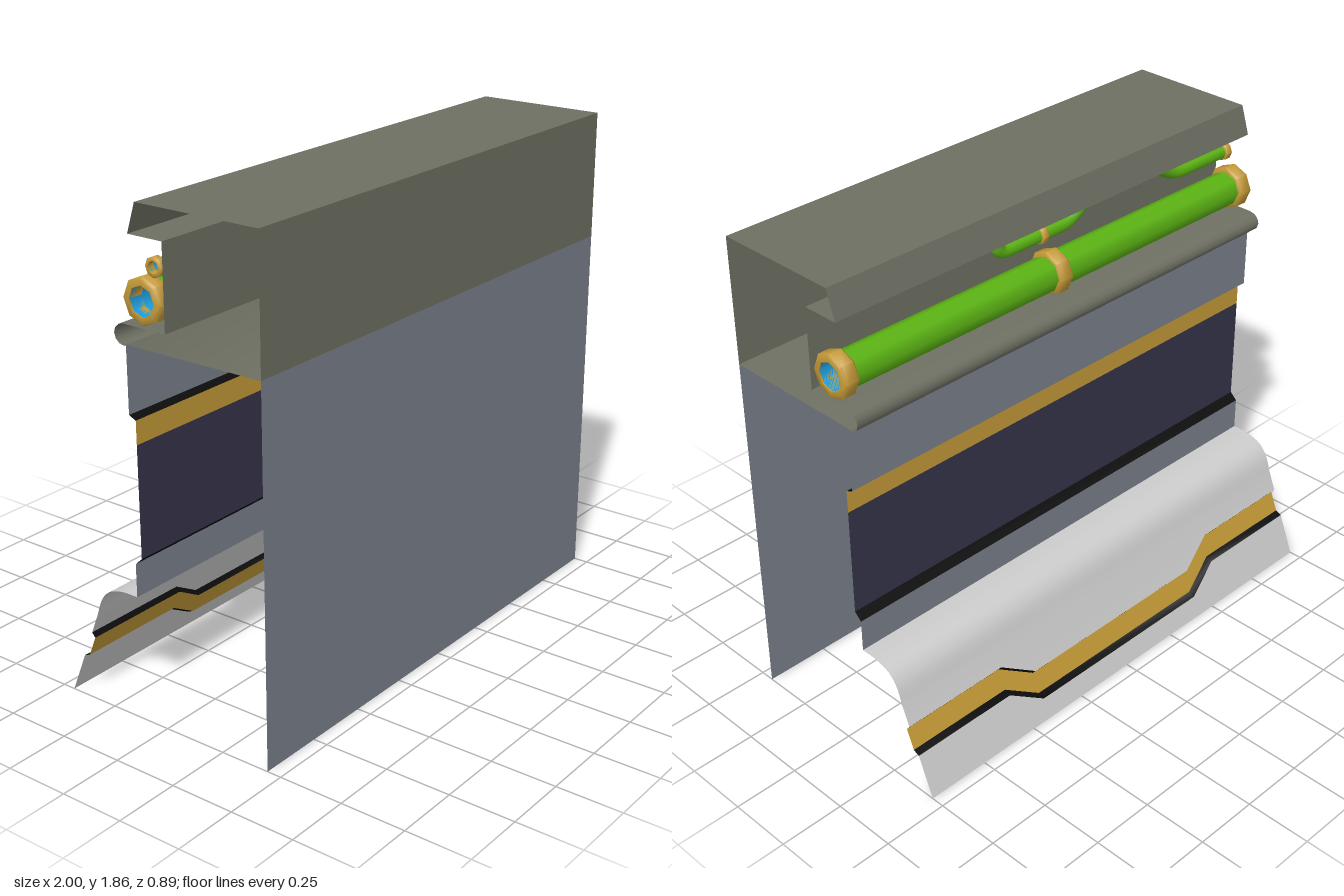
import * as THREE from 'three';
import { toCreasedNormals } from 'three/addons/utils/BufferGeometryUtils.js';

const paint = (color, side = THREE.DoubleSide) => new THREE.MeshStandardMaterial({ color, side });
const beamGrey = paint(0x6e7063), wallBlue = paint(0x7a808a), darkBlue = paint(0x36344a);
const gold = paint(0xc49a38), black = paint(0x0c0c0c), green = paint(0x5cb414);
const blue = paint(0x1e9fe0, THREE.BackSide), plain = paint(0xcccccc);

// Sheet swept along x; profile(x) returns [z, y] points
function sheet(name, material, profile, stations = [-1, 1]) {
  const pos = [], index = [];
  const n = profile(0).length;
  stations.forEach((x, i) => {
    profile(x).forEach(([z, y], j) => {
      pos.push(x, y, z);
      if (i < stations.length - 1 && j < n - 1) {
        const a = i * n + j, b = a + n;
        index.push(a, b, a + 1, b, b + 1, a + 1);
      }
    });
  });
  const geo = new THREE.BufferGeometry();
  geo.setAttribute('position', new THREE.Float32BufferAttribute(pos, 3));
  geo.setIndex(index);
  const mesh = new THREE.Mesh(toCreasedNormals(geo, 0.8), material);
  mesh.name = name;
  return mesh;
}

// Octagonal collar around the x axis
function collar(name, inner, outer, width, x, y, z) {
  const w = width / 2, c = (outer - inner) * 0.25;
  const pts = [[inner, -w], [outer - c, -w], [outer, -w + c], [outer, w - c], [outer - c, w], [inner, w], [inner, -w]]
    .map(p => new THREE.Vector2(...p));
  const mesh = new THREE.Mesh(toCreasedNormals(new THREE.LatheGeometry(pts, 8), 0.85), gold);
  mesh.name = name;
  mesh.rotation.z = Math.PI / 2;
  mesh.position.set(x, y, z);
  return mesh;
}

// Open straight pipe along x
function pipe(name, radius, length, material, x, y, z) {
  const mesh = new THREE.Mesh(new THREE.CylinderGeometry(radius, radius, length, 8, 1, true), material);
  mesh.name = name;
  mesh.rotation.z = Math.PI / 2;
  mesh.position.set(x, y, z);
  return mesh;
}

// Straight runs joined by rounded elbows
function bentPath(points, r) {
  const path = new THREE.CurvePath();
  let last = points[0];
  for (let i = 1; i < points.length - 1; i++) {
    const p = points[i];
    const before = p.clone().add(points[i - 1].clone().sub(p).setLength(r));
    const after = p.clone().add(points[i + 1].clone().sub(p).setLength(r));
    path.add(new THREE.LineCurve3(last, before));
    path.add(new THREE.QuadraticBezierCurve3(before, p, after));
    last = after;
  }
  path.add(new THREE.LineCurve3(last, points[points.length - 1]));
  return path;
}

export function createModel() {
  const model = new THREE.Group();

  // Front wall and the hollow beam with its pipe channel and rolled shelf edge
  model.add(sheet('frontWall', wallBlue, () => [[0.445, 0], [0.445, 1.38]]));
  const roll = [];
  for (let i = 0; i <= 6; i++) {
    const a = i / 6 * Math.PI;
    roll.push([-0.125 - 0.042 * Math.sin(a), 1.41 + 0.038 * Math.cos(a)]);
  }
  model.add(sheet('topBeam', beamGrey, () => [
    [0.445, 1.38], [0.445, 1.86], [-0.055, 1.86], [-0.09, 1.752], [0.055, 1.752],
    [0.055, 1.448], ...roll, [-0.117, 1.378], [0.445, 1.38]]));

  // Back wall with a recessed dark panel
  const out = -0.117, recess = -0.088;
  [['backWallUpper', wallBlue, out, 1.378, out, 1.135],
    ['recessUpperLedge', black, out, 1.135, recess, 1.122],
    ['recessStripe', gold, recess, 1.122, recess, 1.035],
    ['recessPanel', darkBlue, recess, 1.035, recess, 0.622],
    ['recessLowerLedge', black, recess, 0.622, out, 0.595],
    ['backWallLower', wallBlue, out, 0.595, out, 0.47]
  ].forEach(([name, mat, z1, y1, z2, y2]) =>
    model.add(sheet(name, mat, () => [[z1, y1], [z2, y2]])));

  // Flared apron with a stepped groove
  const stations = [-1, -0.56, -0.42, 0.42, 0.56, 1];
  const drop = x => -0.082 * THREE.MathUtils.clamp((0.56 - Math.abs(x)) / 0.14, 0, 1);
  const slope = y => [-0.312 - 0.138 * (0.34 - y) / 0.34, y];
  const sunk = y => { const [z] = slope(y); return [z + 0.018, y - 0.007]; };
  const top = x => 0.262 + drop(x), bottom = x => 0.157 + drop(x);
  const shoulder = new THREE.SplineCurve([[-0.117, 0.47], [-0.19, 0.468], [-0.25, 0.448],
    [-0.288, 0.405], [-0.312, 0.34]].map(p => new THREE.Vector2(...p))).getPoints(14).map(p => [p.x, p.y]);
  [['apronUpper', plain, x => [...shoulder, slope(top(x))]],
    ['grooveUpperLedge', black, x => [slope(top(x)), sunk(top(x) - 0.01)]],
    ['grooveStripe', gold, x => [sunk(top(x) - 0.01), sunk(bottom(x) + 0.018)]],
    ['grooveLowerLedge', black, x => [sunk(bottom(x) + 0.018), slope(bottom(x))]],
    ['apronLower', plain, x => [slope(bottom(x)), slope(0)]]
  ].forEach(([name, mat, profile]) => model.add(sheet(name, mat, profile, stations)));

  // Large pipe with collars
  const py = 1.537, pz = -0.042;
  model.add(pipe('mainPipe', 0.066, 1.98, green, 0, py, pz));
  model.add(pipe('mainPipeLining', 0.054, 1.99, blue, 0, py, pz));
  [-0.97, 0, 0.97].forEach(x => model.add(collar('mainPipeCollar', 0.054, 0.083, 0.06, x, py, pz)));

  // Small bent pipe with collars
  const sz = 0.014;
  const route = [[0.21, 1.785], [0.21, 1.66], [-0.14, 1.66], [-0.22, 1.72], [-0.6, 1.72], [-0.7, 1.66], [-0.995, 1.66]]
    .map(([x, y]) => new THREE.Vector3(x, y, sz));
  const smallPipe = new THREE.Mesh(new THREE.TubeGeometry(bentPath(route, 0.045), 80, 0.027, 8), green);
  smallPipe.name = 'smallPipe';
  model.add(smallPipe);
  model.add(pipe('smallPipeLining', 0.022, 0.1, blue, -0.948, 1.66, sz));
  [[0, 1.66], [-0.28, 1.72], [-0.58, 1.72], [-0.985, 1.66]].forEach(([x, y]) =>
    model.add(collar('smallPipeCollar', 0.022, 0.036, 0.03, x, y, sz)));
  const upright = collar('smallPipeCollar', 0.022, 0.036, 0.03, 0.21, 1.745, sz);
  upright.rotation.z = 0;
  model.add(upright);

  return model;
}
